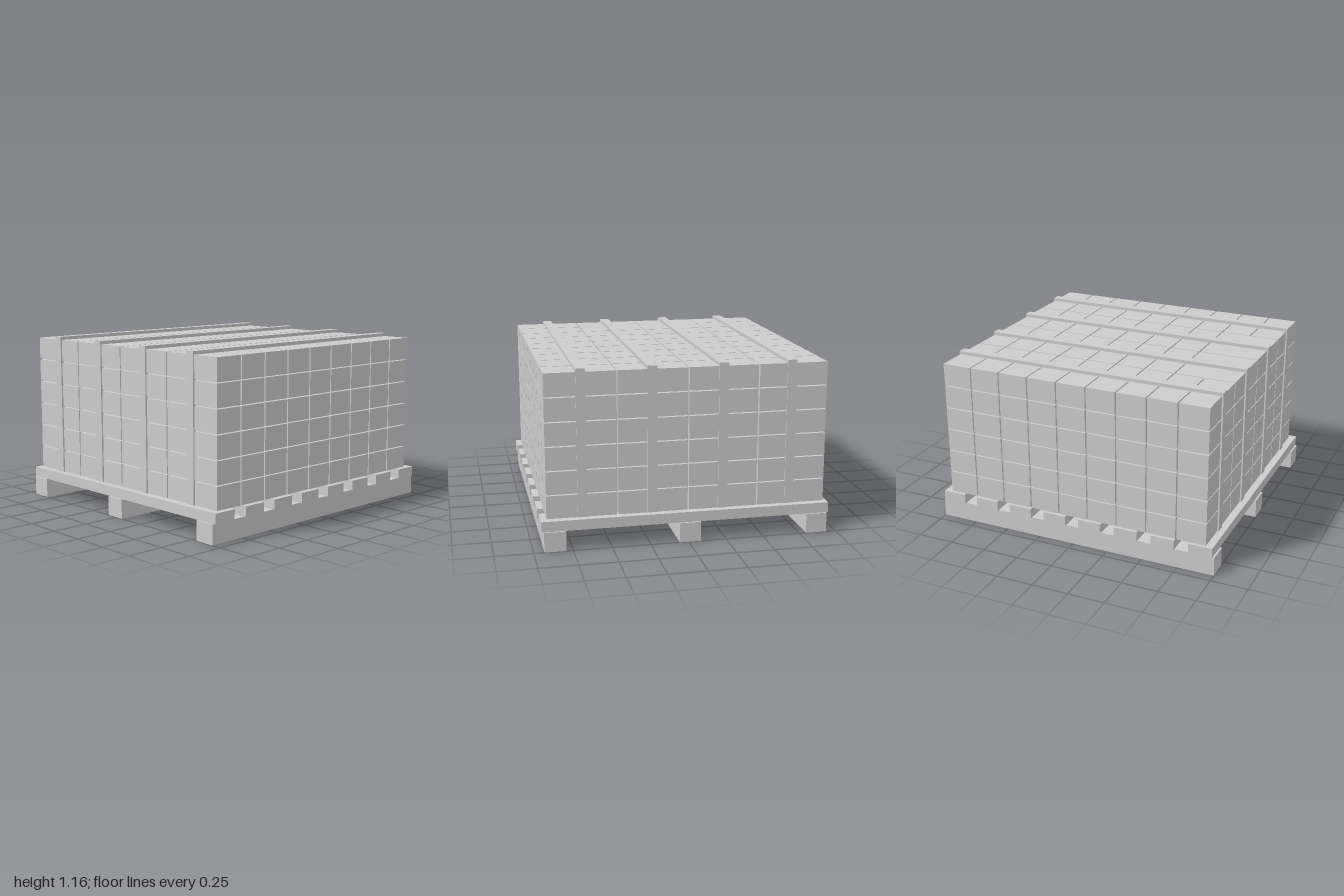
import * as THREE from 'three';

const grey = new THREE.MeshStandardMaterial({ color: 0xcccccc, flatShading: true });

// Box given by its minimum and maximum corners
function block(parent, name, [x0, y0, z0], [x1, y1, z1]) {
  const mesh = new THREE.Mesh(new THREE.BoxGeometry(x1 - x0, y1 - y0, z1 - z0), grey);
  mesh.position.set((x0 + x1) / 2, (y0 + y1) / 2, (z0 + z1) / 2);
  mesh.name = name;
  parent.add(mesh);
}

function group(parent, name) {
  const g = new THREE.Group();
  g.name = name;
  parent.add(g);
  return g;
}

export function createModel() {
  const model = new THREE.Group();
  model.name = 'loadedPallet';

  // Pallet: three runners along z, eight deck slats across
  const pallet = group(model, 'pallet');
  for (const x of [-0.865, -0.01, 0.863]) {
    block(pallet, 'runner', [x - 0.07, 0, -1], [x + 0.07, 0.13, 1]);
  }
  for (let i = 0; i < 8; i++) {
    const z = -0.906 + i * 0.259;
    block(pallet, 'deckSlat', [-0.948, 0.13, z - 0.081], [0.948, 0.198, z + 0.081]);
  }

  // Stack of bricks: 4 columns, 6 layers, 9 rows with narrow joints
  const bricks = group(model, 'bricks');
  const x0 = -0.926, y0 = 0.198, z0 = -0.937;
  const px = 0.461, py = 0.1575, pz = 0.2094, gap = 0.009;
  for (let c = 0; c < 4; c++) {
    for (let l = 0; l < 6; l++) {
      for (let r = 0; r < 9; r++) {
        const x = x0 + c * px, y = y0 + l * py, z = z0 + r * pz;
        // The two middle columns have a closed joint at the top front
        const closed = l === 5 && r === 7 && (c === 1 || c === 2);
        block(bricks, 'brick', [x, y, z],
          [x + px - gap, y + py - gap + 0.002, z + pz - (closed ? 0 : gap)]);
      }
    }
  }

  // Solid filling behind the joints
  block(model, 'core', [-0.885, 0.198, -0.905], [0.875, 1.12, 0.91]);

  // Straps run up the front, over the top and down the back
  const straps = group(model, 'straps');
  for (const x of [-0.688, -0.237, 0.227, 0.679]) {
    const a = x - 0.031, b = x + 0.031;
    block(straps, 'strapTop', [a, 1.13, -0.943], [b, 1.158, 0.949]);
    block(straps, 'strapFront', [a, 0.198, 0.925], [b, 1.13, 0.949]);
    block(straps, 'strapBack', [a, 0.198, -0.943], [b, 1.13, -0.92]);
  }
  return model;
}
